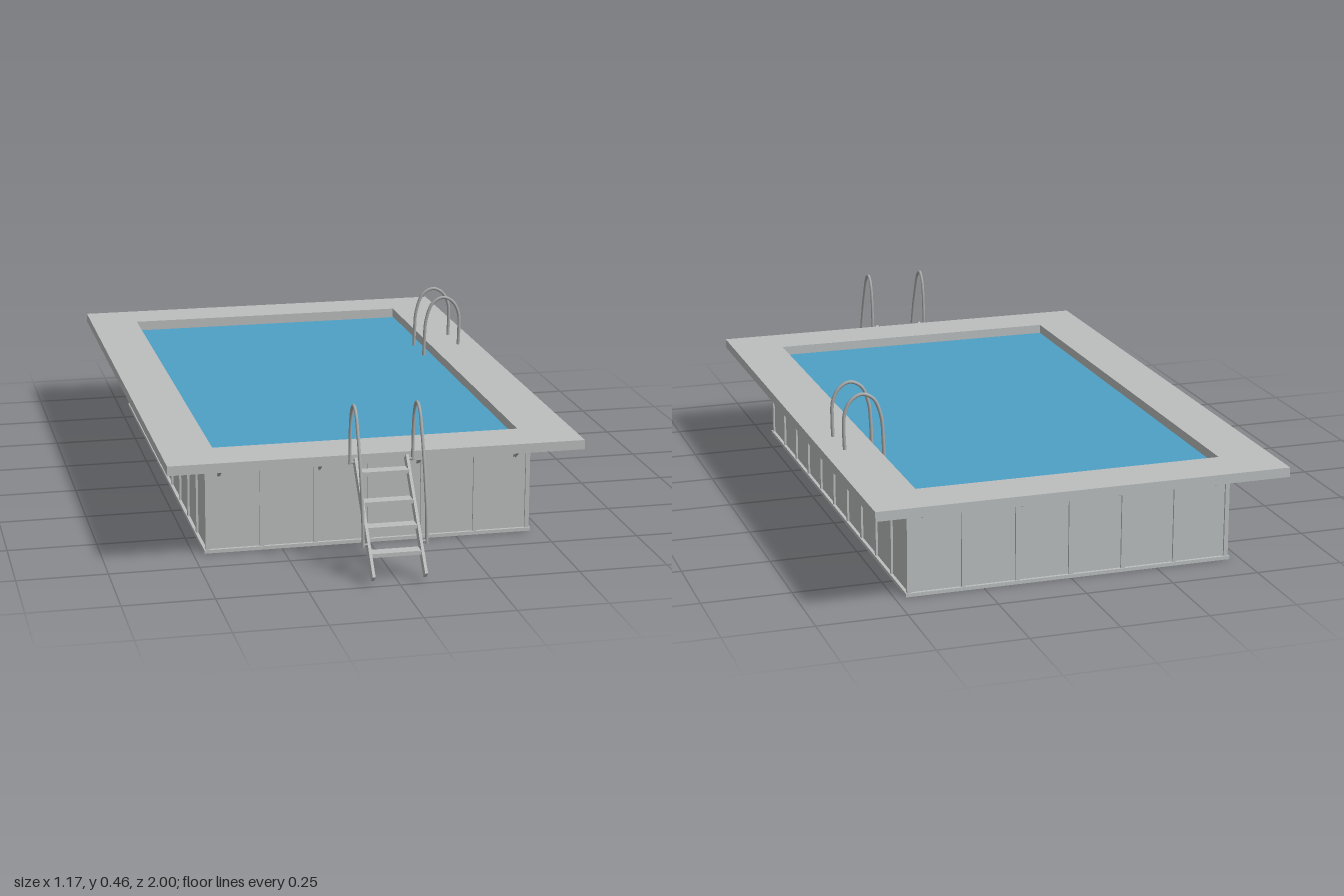
import * as THREE from 'three';

const mat = (name, color) => {
  const m = new THREE.MeshStandardMaterial({ color });
  m.name = name;
  return m;
};

export function createModel() {
  const model = new THREE.Group();
  model.name = 'pool';
  const grey = mat('light grey', 0xbcbfbf);
  const metal = mat('steel grey', 0xa9acac);
  const water = mat('water blue', 0x4da0c6);
  const liner = mat('liner blue', 0x2c6496);

  const CZ = -0.118; // centre of the basin along z
  const HX = 0.46, HZ = 0.752; // half size of the wall

  const add = (name, geo, material, x = 0, y = 0, z = 0, parent = model) => {
    const mesh = new THREE.Mesh(geo, material);
    mesh.name = name;
    mesh.position.set(x, y, z);
    parent.add(mesh);
    return mesh;
  };
  const box = (name, w, h, d, material, x, y, z, parent) =>
    add(name, new THREE.BoxGeometry(w, h, d), material, x, y, z, parent);

  // Rectangular frame lying flat, from y0 to y1
  const rectPoints = (x0, x1, z0, z1) => [[x0, -z1], [x1, -z1], [x1, -z0], [x0, -z0]]
    .map(([x, y]) => new THREE.Vector2(x, y));
  const frame = (name, outer, inner, y0, y1, material) => {
    const shape = new THREE.Shape(rectPoints(...outer));
    shape.holes.push(new THREE.Path(rectPoints(...inner).reverse()));
    const geo = new THREE.ExtrudeGeometry(shape, { depth: y1 - y0, bevelEnabled: false });
    geo.rotateX(-Math.PI / 2);
    return add(name, geo, material, 0, y0, 0);
  };
  const around = (dx, dz) => [-dx, dx, CZ - dz, CZ + dz];

  // Round bar between two points
  const bar = (name, a, b, r, material, parent) => {
    const dir = b.clone().sub(a);
    const mesh = add(name, new THREE.CylinderGeometry(r, r, dir.length(), 10), material, 0, 0, 0, parent);
    mesh.position.copy(a).add(b).multiplyScalar(0.5);
    mesh.quaternion.setFromUnitVectors(new THREE.Vector3(0, 1, 0), dir.normalize());
    return mesh;
  };
  const tube = (name, points, r, material, parent) => {
    const curve = new THREE.CatmullRomCurve3(points.map((p) => new THREE.Vector3(...p)));
    return add(name, new THREE.TubeGeometry(curve, 40, r, 10), material, 0, 0, 0, parent);
  };

  // Deck, wall, rails, floor and water
  frame('deck', [-0.586, 0.586, -1, 0.757], [-0.438, 0.434, -0.855, 0.61], 0.268, 0.295, grey);
  frame('wall', around(HX, HZ), around(0.444, 0.738), 0.004, 0.268, grey);
  frame('baseRail', around(0.469, 0.761), around(0.45, 0.742), 0, 0.01, grey);
  frame('topRail', around(0.466, 0.758), around(0.45, 0.742), 0.258, 0.268, grey);
  box('floor', 0.91, 0.006, 1.494, liner, 0, 0.006, CZ);
  box('water', 0.888, 0.006, 1.476, water, 0, 0.262, CZ);

  // Upright ribs between the wall panels
  const ribs = new THREE.Group();
  ribs.name = 'wallRibs';
  model.add(ribs);
  for (const s of [-1, 1]) {
    for (let i = 0; i <= 6; i++)
      box('rib', 0.012, 0.256, 0.012, grey, (i / 3 - 1) * 0.459, 0.134, CZ + s * HZ, ribs);
    for (let i = 1; i < 10; i++)
      box('rib', 0.012, 0.256, 0.012, grey, s * HX, 0.134, CZ + (i / 5 - 1) * HZ, ribs);
  }

  // Diagonal braces carrying the deck overhang
  const braces = new THREE.Group();
  braces.name = 'deckBraces';
  model.add(braces);
  const brace = (x, z, ox, oz) => {
    bar('brace', new THREE.Vector3(x, 0.222, z),
      new THREE.Vector3(x + ox * 0.07, 0.268, z + oz * 0.07), 0.0045, metal, braces);
    box('braceFoot', 0.008, 0.045, 0.008, metal, x + ox * 0.004, 0.243, z + oz * 0.004, braces);
  };
  for (const s of [-1, 1]) {
    for (let i = 0; i < 4; i++) brace(-0.425 + i * 0.282, CZ + s * HZ, 0, s);
    for (let i = 0; i < 6; i++) brace(s * HX, 0.6 - i * 0.286, s, 0);
  }

  // Entry ladder: sloping stringers, treads and handrails
  const ladder = new THREE.Group();
  ladder.name = 'entryLadder';
  model.add(ladder);
  const topZ = 0.768, topY = 0.285, footZ = 0.99, footY = 0.018;
  const length = Math.hypot(footZ - topZ, topY - footY);
  const slope = Math.atan2(footZ - topZ, topY - footY);
  for (const s of [-1, 1]) {
    const stringer = box('stringer', 0.008, length, 0.026, grey,
      s * 0.072, (topY + footY) / 2, (topZ + footZ) / 2, ladder);
    stringer.rotation.x = -slope;
    const x = s * 0.088;
    tube('ladderHandrail', [
      [x, 0.275, 0.776], [x, 0.34, 0.777], [x, 0.415, 0.788], [x, 0.446, 0.805], [x, 0.453, 0.823],
      [x, 0.437, 0.847], [x, 0.4, 0.865], [x, 0.33, 0.892], [x, 0.25, 0.915],
      [x, 0.18, 0.931], [x, 0.09, 0.937],
    ], 0.0045, metal, ladder);
    for (const [y, z] of [[0.28, 0.776], [0.097, 0.936]])
      bar('handrailLink', new THREE.Vector3(s * 0.07, y, z), new THREE.Vector3(s * 0.092, y, z),
        0.004, metal, ladder);
  }
  for (const [y, z] of [[0.254, 0.793], [0.185, 0.843], [0.129, 0.891], [0.071, 0.938]])
    box('tread', 0.14, 0.011, 0.036, grey, 0, y, z, ladder);

  // Grab rails over the edge of the deck
  for (const z of [-0.472, -0.346])
    tube('grabRail', [
      [0.41, 0.255, z], [0.412, 0.32, z], [0.417, 0.38, z], [0.438, 0.434, z], [0.472, 0.451, z],
      [0.503, 0.436, z], [0.522, 0.4, z], [0.525, 0.35, z], [0.523, 0.285, z],
    ], 0.005, metal);

  return model;
}
